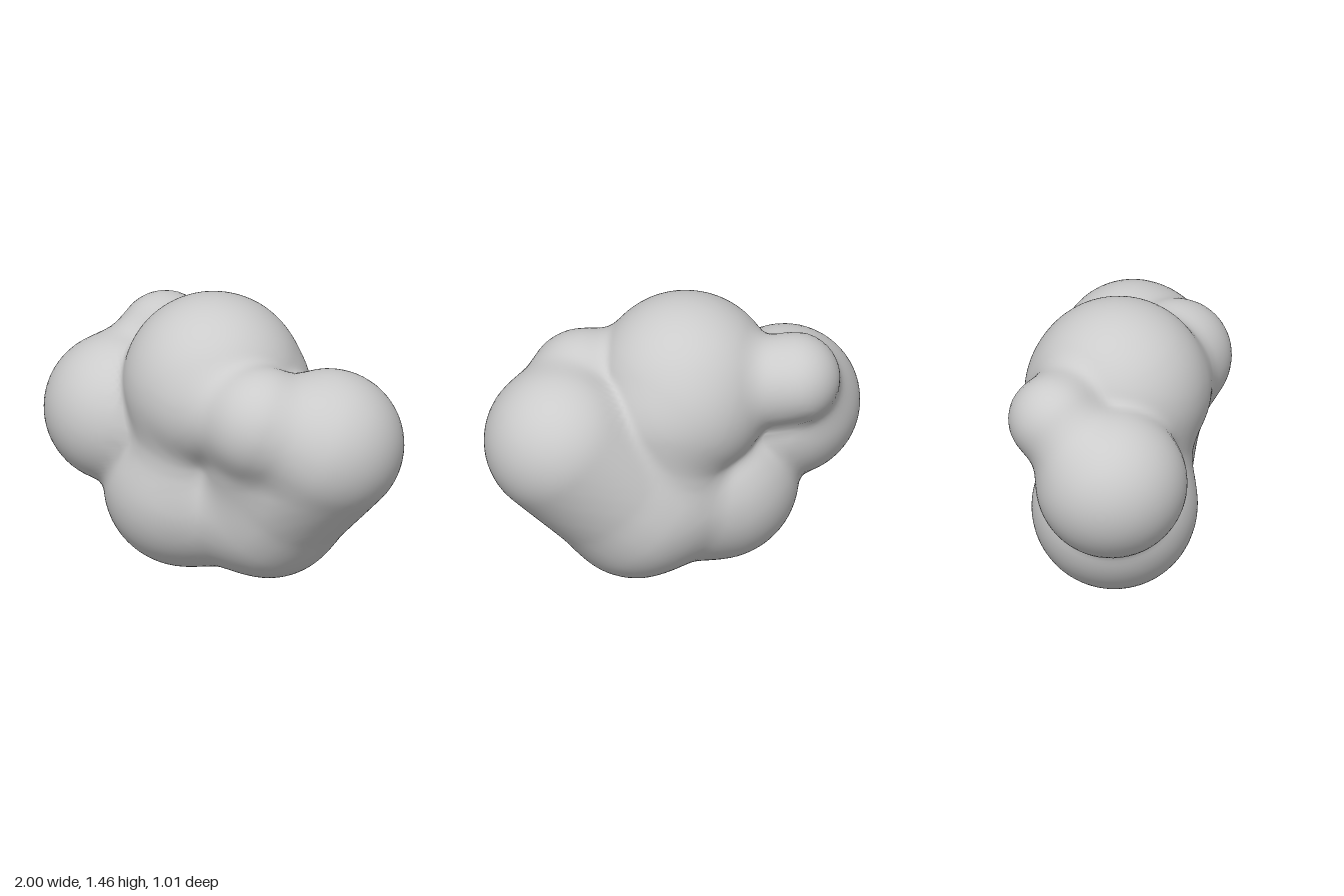
import * as THREE from 'three';
import { mergeVertices } from 'three/addons/utils/BufferGeometryUtils.js';

// Rounded lobes: start point, start radius, end point, end radius
const v = (x, y, z) => new THREE.Vector3(x, y, z);
const lobe = (a, ra, b = a, rb = ra) => ({ a, b, ra, rb });
const LOBES = [
  lobe(v(-0.07, 1.0, -0.01), 0.455),                                // crown
  lobe(v(-0.03, 0.93, -0.1), 0.375),                                // crown back
  lobe(v(-0.62, 0.75, 0.02), 0.38),                                 // right-hand lobe
  lobe(v(-0.54, 1.05, -0.29), 0.215, v(-0.3, 1.04, -0.18), 0.23),   // rear bump
  lobe(v(-0.56, 1.05, -0.26), 0.21, v(-0.64, 0.85, -0.08), 0.25),   // rear bump root
  lobe(v(-0.24, 0.41, -0.01), 0.41),                                // base
  lobe(v(-0.2, 0.41, -0.02), 0.38, v(0.23, 0.41, -0.07), 0.37),     // base bridge
  lobe(v(-0.12, 0.9, 0.05), 0.32, v(-0.2, 0.45, 0.05), 0.32),       // front core
  lobe(v(0.08, 0.9, -0.1), 0.32, v(0.08, 0.45, -0.1), 0.32),        // back web
  lobe(v(0.62, 0.82, -0.02), 0.38, v(0.22, 0.41, -0.07), 0.38),     // slanted left-hand lobe
  lobe(v(0.39, 0.965, 0.225), 0.275, v(0.62, 0.84, 0.05), 0.3),     // front shoulder
  lobe(v(0.36, 0.95, 0.21), 0.26, v(0.0, 0.97, 0.15), 0.28),        // shoulder to crown
  lobe(v(0.36, 0.92, 0.19), 0.26, v(0.2, 0.42, 0.0), 0.28),         // front ridge
];
const BLEND = 0.06;

// Distance to a lobe, a capsule whose radius varies along its length
function lobeDistance(p, { a, b, ra, rb }) {
  const axis = b.clone().sub(a);
  const len = axis.lengthSq();
  const t = len ? THREE.MathUtils.clamp(p.clone().sub(a).dot(axis) / len, 0, 1) : 0;
  return p.distanceTo(axis.multiplyScalar(t).add(a)) - THREE.MathUtils.lerp(ra, rb, t);
}

// Softly blended union of all the lobes
function blobDistance(p) {
  let d = 10;
  for (const l of LOBES) {
    const e = lobeDistance(p, l);
    const h = Math.max(BLEND - Math.abs(d - e), 0) / BLEND;
    d = Math.min(d, e) - h * h * BLEND / 4;
  }
  return d;
}

export function createModel() {
  const group = new THREE.Group();
  group.name = 'lumpyBoulder';

  // Shrink a sphere along its rays until it rests on the lobes
  const geometry = new THREE.IcosahedronGeometry(1, 30);
  geometry.deleteAttribute('uv');
  geometry.deleteAttribute('normal');
  const skin = mergeVertices(geometry, 1e-4);
  const centre = v(0, 0.72, 0);
  const pos = skin.attributes.position;
  const dir = v(0, 0, 0), p = v(0, 0, 0);
  for (let i = 0; i < pos.count; i++) {
    dir.fromBufferAttribute(pos, i).normalize();
    let r = 1.3;
    for (let step = 0; step < 60; step++) {
      const d = blobDistance(p.copy(centre).addScaledVector(dir, r));
      if (d < 0.0005) break;
      r -= d;
    }
    pos.setXYZ(i, p.x, p.y, p.z);
  }
  skin.computeVertexNormals();

  const body = new THREE.Mesh(skin, new THREE.MeshStandardMaterial({ color: 0xcccccc }));
  body.name = 'body';
  group.add(body);
  return group;
}
